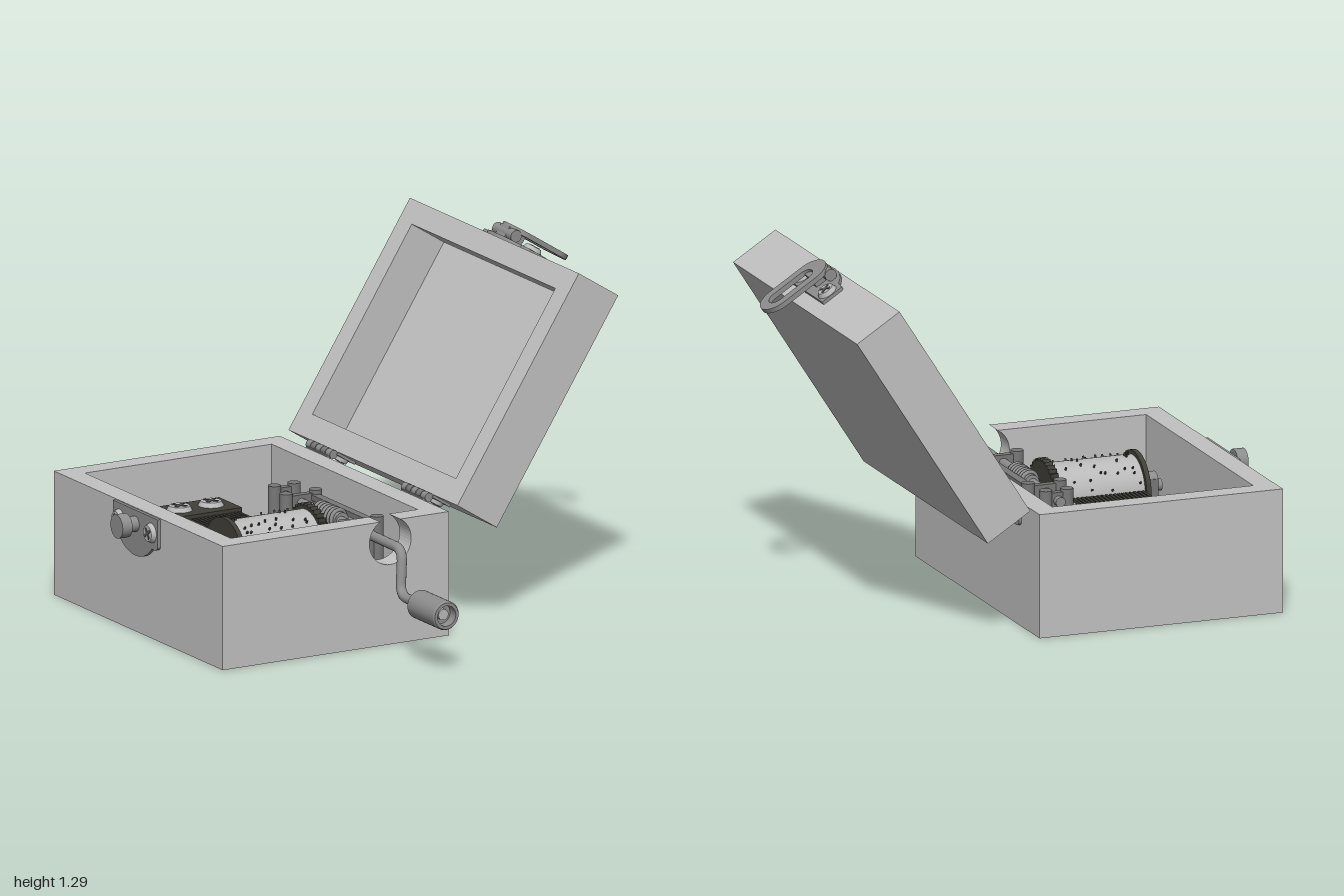
import * as THREE from 'three';
import { mergeGeometries } from 'three/addons/utils/BufferGeometryUtils.js';

const paint = (name, color) => {
  const m = new THREE.MeshStandardMaterial({ color });
  m.name = name;
  return m;
};
const M = {
  box: paint('box grey', 0xc2c2c2),
  steel: paint('steel', 0x8e8e8e),
  plate: paint('bedplate grey', 0x787878),
  bright: paint('bright metal', 0xbababa),
  dark: paint('dark comb', 0x403f38),
  slot: paint('slot grey', 0x555555),
};

function add(parent, name, geo, mat, x = 0, y = 0, z = 0) {
  const m = new THREE.Mesh(geo, mat);
  m.name = name;
  m.position.set(x, y, z);
  parent.add(m);
  return m;
}
function group(parent, name, x = 0, y = 0, z = 0) {
  const g = new THREE.Group();
  g.name = name;
  g.position.set(x, y, z);
  parent.add(g);
  return g;
}
const box = (w, h, d) => new THREE.BoxGeometry(w, h, d);
const cyl = (r, h, axis = 'y', n = 28) => {
  const g = new THREE.CylinderGeometry(r, r, h, n);
  if (axis === 'x') g.rotateZ(Math.PI / 2);
  if (axis === 'z') g.rotateX(Math.PI / 2);
  return g;
};
const extrude = (shape, depth) =>
  new THREE.ExtrudeGeometry(shape, { depth, bevelEnabled: false, curveSegments: 20 });
function roundRect(x0, y0, x1, y1, r, Type = THREE.Shape) {
  const s = new Type();
  s.moveTo(x0 + r, y0);
  s.lineTo(x1 - r, y0);
  s.absarc(x1 - r, y0 + r, r, -Math.PI / 2, 0);
  s.lineTo(x1, y1 - r);
  s.absarc(x1 - r, y1 - r, r, 0, Math.PI / 2);
  s.lineTo(x0 + r, y1);
  s.absarc(x0 + r, y1 - r, r, Math.PI / 2, Math.PI);
  s.lineTo(x0, y0 + r);
  s.absarc(x0 + r, y0 + r, r, Math.PI, Math.PI * 1.5);
  return s;
}

// Screw with a cross slot, its head pointing along +y
function screw(parent, r, x, y, z, rx = 0) {
  const g = group(parent, 'screw', x, y, z);
  g.rotation.x = rx;
  add(g, 'screwHead', new THREE.CylinderGeometry(r * 0.8, r, 0.016, 20), M.bright, 0, 0.008, 0);
  for (const a of [0.6, 0.6 + Math.PI / 2])
    add(g, 'screwSlot', box(r * 1.2, 0.003, r * 0.28), M.slot, 0, 0.0165, 0).rotation.y = a;
}

// Clasp plate outline: straight on top, two ears and a curved belly
function claspShape(k) {
  const s = new THREE.Shape();
  s.moveTo(-0.155, 0);
  s.lineTo(-0.155, -0.1 * k);
  s.quadraticCurveTo(-0.15, -0.12 * k, -0.115, -0.115 * k);
  s.quadraticCurveTo(-0.07, -0.165 * k, 0, -0.165 * k);
  s.quadraticCurveTo(0.07, -0.165 * k, 0.115, -0.115 * k);
  s.quadraticCurveTo(0.15, -0.12 * k, 0.155, -0.1 * k);
  s.lineTo(0.155, 0);
  return s;
}

function buildBase(root) {
  const g = group(root, 'boxBase');
  add(g, 'floor', box(1.17, 0.06, 0.92), M.box, 0, 0.03, 0);
  add(g, 'frontWall', box(1.17, 0.39, 0.08), M.box, 0, 0.255, 0.42);
  add(g, 'backWall', box(1.17, 0.39, 0.08), M.box, 0, 0.255, -0.42);
  add(g, 'rightWall', box(0.08, 0.39, 0.76), M.box, -0.545, 0.255, 0);
  // Side wall with the round notch for the crank
  const s = new THREE.Shape(), cx = 0.222, cy = 0.375, r = 0.085;
  const a = Math.asin((0.45 - cy) / r);
  s.moveTo(-0.38, 0.06);
  s.lineTo(0.38, 0.06);
  s.lineTo(0.38, 0.45);
  s.lineTo(cx + r * Math.cos(a), 0.45);
  s.absarc(cx, cy, r, a, Math.PI - a, true);
  s.lineTo(-0.38, 0.45);
  add(g, 'leftWall', extrude(s, 0.08), M.box, 0.505, 0, 0).rotation.y = Math.PI / 2;
  // Lower clasp with its knob
  const c = group(g, 'lowerClasp', 0, 0.447, 0.46);
  add(c, 'claspPlate', extrude(claspShape(1), 0.012), M.steel);
  for (const x of [-0.11, 0.11]) screw(c, 0.036, x, -0.058, 0.012, Math.PI / 2);
  add(c, 'knobStem', cyl(0.028, 0.05, 'z'), M.steel, 0, -0.05, 0.03);
  add(c, 'knob', cyl(0.043, 0.04, 'z'), M.steel, 0, -0.05, 0.068);
}

function buildLid(root) {
  const g = group(root, 'lid', 0, 0.467, -0.495);
  g.rotation.x = THREE.MathUtils.degToRad(-32.5);
  const s = new THREE.Shape([[-0.585, 0], [0.585, 0], [0.585, 0.92], [-0.585, 0.92]].map(p => new THREE.Vector2(...p)));
  s.holes.push(new THREE.Path([[-0.497, 0.085], [-0.497, 0.838], [0.497, 0.838], [0.497, 0.085]].map(p => new THREE.Vector2(...p))));
  add(g, 'lidFrame', extrude(s, 0.155), M.box, 0, 0, -0.155);
  add(g, 'lidPanel', box(1.17, 0.92, 0.035), M.box, 0, 0.46, -0.1725);
  // Upper clasp with its swinging loop
  const c = group(g, 'upperClasp', 0, 0.92, -0.135);
  add(c, 'claspPlate', extrude(claspShape(0.8), 0.012), M.steel).rotation.x = -Math.PI / 2;
  for (const x of [-0.115, 0.115]) screw(c, 0.036, x, 0.012, 0.042);
  add(c, 'loopPivot', cyl(0.022, 0.13, 'x'), M.steel, 0, 0.032, 0.095);
  add(c, 'loopBracket', box(0.06, 0.045, 0.08), M.steel, 0, 0.03, 0.075);
  const loop = roundRect(-0.07, -0.115, 0.07, 0.165, 0.069);
  loop.holes.push(roundRect(-0.034, -0.06, 0.034, 0.129, 0.033, THREE.Path));
  add(c, 'claspLoop', extrude(loop, 0.018), M.steel, 0, 0.045, 0).rotation.x = -Math.PI / 2;
  // Lid leaves of the hinges
  for (const x of [-0.33, 0.33]) {
    add(g, 'lidHingeLeaf', box(0.17, 0.01, 0.085), M.steel, x, -0.005, -0.046);
    for (const d of [-0.045, 0.045]) screw(g, 0.028, x + d, -0.008, -0.055, Math.PI);
  }
}

function buildHinges(root) {
  for (const x of [-0.33, 0.33]) {
    const h = group(root, 'hinge', x, 0.455, -0.46);
    add(h, 'hingeLeaf', extrude(roundRect(-0.085, -0.09, 0.085, 0, 0.02), 0.01), M.steel, 0, 0, -0.01);
    for (let i = 0; i < 5; i++)
      add(h, 'hingeKnuckle', cyl(0.016, 0.031, 'x', 16), i % 2 ? M.plate : M.steel, (i - 2) * 0.034, 0.004, -0.02);
    for (const d of [-0.045, 0.045]) screw(h, 0.028, d, -0.05, -0.008, -Math.PI / 2);
  }
}

function buildMovement(root) {
  const g = group(root, 'movement');
  // Bedplate with an opening under the drum
  const s = roundRect(-0.41, -0.29, 0.395, 0.285, 0.075);
  s.holes.push(roundRect(-0.09, -0.235, 0.325, 0.16, 0.06, THREE.Path));
  add(g, 'bedplate', extrude(s, 0.06), M.plate, 0, 0.1, 0).rotation.x = -Math.PI / 2;
  for (const [x, z] of [[-0.3, -0.22], [-0.3, 0.24], [0.36, 0.02]]) {
    add(g, 'foot', cyl(0.03, 0.04), M.plate, x, 0.08, z);
    screw(g, 0.032, x, 0.16, z);
  }
  // Comb: clamp block, spine and tapering tines
  add(g, 'combSupport', box(0.15, 0.13, 0.26), M.plate, -0.305, 0.225, 0.05);
  add(g, 'combClamp', box(0.16, 0.035, 0.29), M.dark, -0.305, 0.3075, 0.05);
  for (const z of [-0.018, 0.11]) screw(g, 0.046, -0.31, 0.325, z);
  const tines = [];
  for (let i = 0; i < 18; i++)
    tines.push(box(0.27, 0.012, 0.0105).translate(-0.095, 0.306, -0.08 + i * 0.0153));
  add(g, 'combTines', mergeGeometries(tines), M.dark);

  // Pinned drum on its axle
  const d = group(g, 'drum', 0.172, 0.29, 0);
  add(d, 'drumBody', cyl(0.118, 0.32, 'z', 48), M.bright, 0, 0, 0.04);
  add(d, 'drumAxle', cyl(0.022, 0.56, 'z'), M.steel, 0, 0, 0.02);
  add(d, 'frontRim', cyl(0.133, 0.018, 'z', 48), M.dark, 0, 0, 0.205);
  const teeth = (n, r) => {
    const t = new THREE.Shape();
    for (let i = 0; i < n * 2; i++) {
      const a = (i * Math.PI) / n, q = i % 2 ? r : r * 0.92;
      t[i ? 'lineTo' : 'moveTo'](q * Math.cos(a), q * Math.sin(a));
    }
    return t;
  };
  add(d, 'drumGear', extrude(teeth(40, 0.138), 0.03), M.dark, 0, 0, -0.15);
  add(d, 'wormGear', extrude(teeth(20, 0.075), 0.05), M.dark, 0, 0, -0.24);
  let seed = 7;
  const rnd = () => (seed = (seed * 16807) % 2147483647) / 2147483647;
  const pins = [];
  for (let i = 0; i < 90; i++)
    pins.push(new THREE.CylinderGeometry(0.004, 0.004, 0.016, 6).translate(0, 0.12, 0)
      .rotateZ(rnd() * Math.PI * 2).translate(0, 0, -0.08 + Math.floor(rnd() * 18) * 0.0153));
  add(d, 'drumPins', mergeGeometries(pins), M.dark);
  add(g, 'frontBearing', box(0.07, 0.17, 0.035), M.plate, 0.172, 0.235, 0.262);
  add(g, 'bearingCap', cyl(0.035, 0.036, 'z'), M.steel, 0.172, 0.305, 0.262);

  // Yokes that carry the crank shaft
  for (const [x, w] of [[-0.155, 0.04], [-0.04, 0.06], [0.377, 0.065]]) {
    const y = group(g, 'shaftYoke', x, 0, -0.225);
    add(y, 'yokePlate', box(0.026, 0.25, w * 2), M.plate, 0, 0.275, 0);
    for (const e of [-w, w]) add(y, 'yokePost', cyl(0.023, 0.26), M.plate, 0, 0.28, e);
  }
  add(g, 'yokeBridge', box(0.42, 0.02, 0.03), M.plate, 0.168, 0.385, -0.275);
  add(g, 'wormCore', cyl(0.028, 0.17, 'x'), M.steel, 0.165, 0.372, -0.222);
  for (let i = 0; i < 7; i++)
    add(g, 'wormThread', new THREE.TorusGeometry(0.032, 0.008, 8, 20), M.steel, 0.105 + i * 0.02, 0.372, -0.222).rotation.y = Math.PI / 2 + 0.15;
}

function buildCrank(root) {
  const g = group(root, 'crank');
  const V = (x, y, z) => new THREE.Vector3(x, y, z);
  // Rod made of straight runs joined by rounded bends
  const p = new THREE.CurvePath();
  const a = V(-0.19, 0.37, -0.222), b = V(0.685, 0.37, -0.212), c = V(0.715, 0.213, -0.187), e = V(0.87, 0.213, -0.187);
  const near = (from, to) => from.clone().add(to.clone().sub(from).setLength(0.045));
  p.add(new THREE.LineCurve3(a, near(b, a)));
  p.add(new THREE.QuadraticBezierCurve3(near(b, a), b, near(b, c)));
  p.add(new THREE.LineCurve3(near(b, c), near(c, b)));
  p.add(new THREE.QuadraticBezierCurve3(near(c, b), c, near(c, e)));
  p.add(new THREE.LineCurve3(near(c, e), e));
  add(g, 'crankRod', new THREE.TubeGeometry(p, 120, 0.018, 14), M.steel);
  add(g, 'rodEnd', cyl(0.018, 0.005, 'x'), M.steel, -0.19, 0.37, -0.222);
  // Handle with a recessed end
  const prof = [[0, 0], [0.047, 0], [0.052, 0.006], [0.052, 0.184], [0.048, 0.19], [0.037, 0.19], [0.037, 0.15], [0, 0.15]];
  const pts = prof.flatMap(q => [new THREE.Vector2(...q), new THREE.Vector2(...q)]);
  const h = add(g, 'crankHandle', new THREE.LatheGeometry(pts, 36), M.steel, 0.845, 0.213, -0.187);
  h.rotation.z = -Math.PI / 2;
  add(g, 'handlePin', cyl(0.02, 0.02, 'x'), M.bright, 1.003, 0.213, -0.187);
}

export function createModel() {
  const model = new THREE.Group();
  model.name = 'musicBox';
  const root = group(model, 'turnedBox', -0.18, 0, 0.303);
  root.rotation.y = -Math.PI / 6;
  buildBase(root);
  buildLid(root);
  buildHinges(root);
  buildMovement(root);
  buildCrank(root);
  return model;
}
